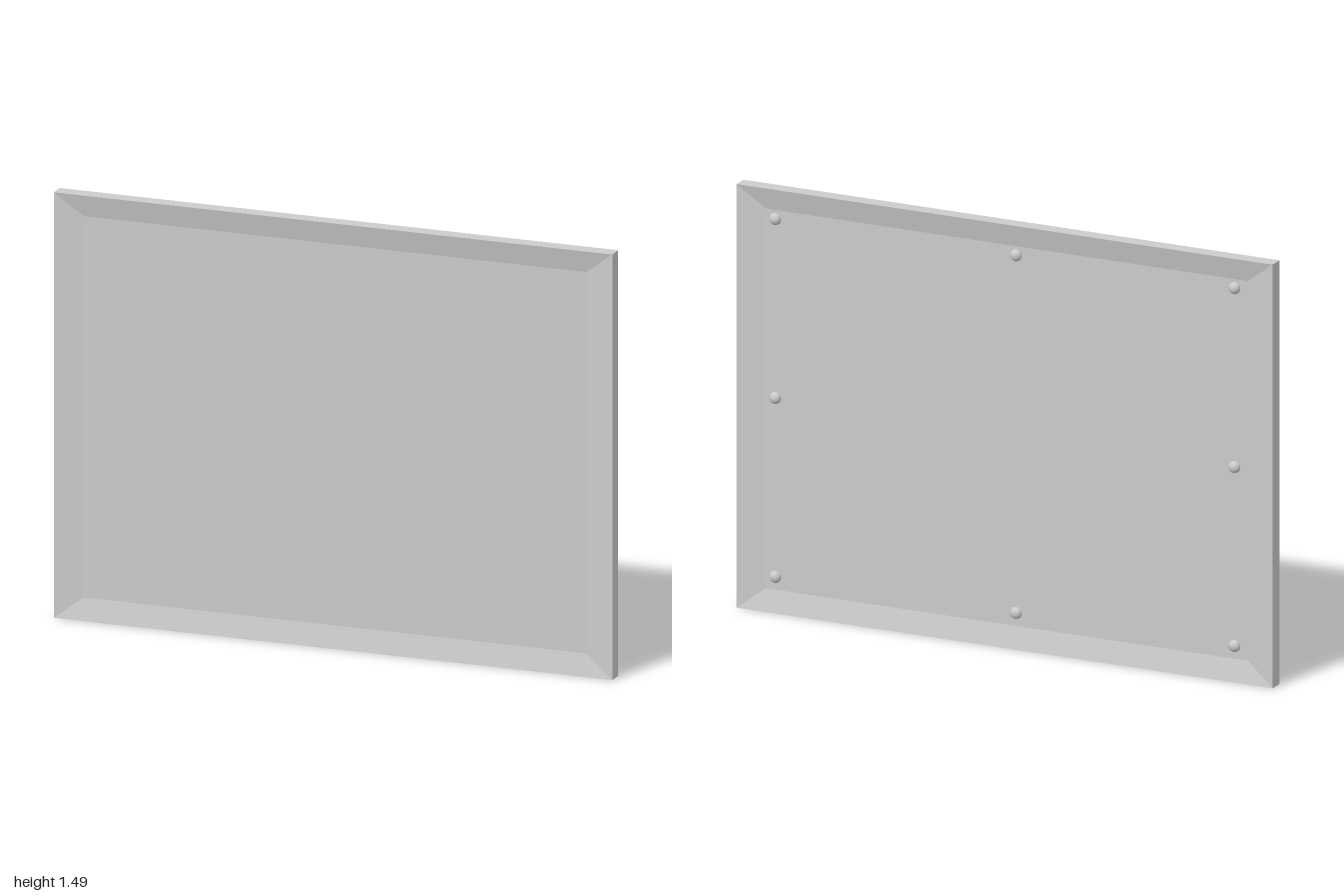
import * as THREE from 'three';

const W = 1, H = 1.485, T = 0.027;      // half width, height, half thickness
const BX = 0.1, BY = 0.077;             // width of the sloping border
const FRONT_Z = 0.01, BACK_Z = -0.008;  // recessed floors

// Rectangle of four corners, anticlockwise seen from the front
function ring(insetX, insetY, z) {
  const x = W - insetX, y0 = insetY, y1 = H - insetY;
  return [[-x, y0, z], [x, y0, z], [x, y1, z], [-x, y1, z]];
}

// Panel lofted through rectangles from the front floor, over the rim, to the back floor
function panelGeometry() {
  const rings = [ring(BX, BY, FRONT_Z), ring(0, 0, T), ring(0, 0, -T), ring(BX, BY, BACK_Z)];
  const pos = [];
  const quad = (a, b, c, d) => pos.push(...a, ...b, ...c, ...a, ...c, ...d);
  quad(...rings[0]);
  for (let r = 0; r < 3; r++) {
    for (let i = 0; i < 4; i++) {
      const j = (i + 1) % 4;
      quad(rings[r][i], rings[r + 1][i], rings[r + 1][j], rings[r][j]);
    }
  }
  quad(...rings[3].slice().reverse());
  const geo = new THREE.BufferGeometry();
  geo.setAttribute('position', new THREE.Float32BufferAttribute(pos, 3));
  geo.computeVertexNormals();
  return geo;
}

export function createModel() {
  const model = new THREE.Group();
  model.name = 'framedPanel';
  const material = new THREE.MeshStandardMaterial({ color: 0xcccccc });

  const panel = new THREE.Mesh(panelGeometry(), material);
  panel.name = 'panel';
  model.add(panel);

  // Round studs around the edge of the back floor
  const studs = new THREE.Group();
  studs.name = 'backStuds';
  const studGeo = new THREE.SphereGeometry(0.021, 16, 10);
  studGeo.scale(1, 1, 0.8);
  const xs = [-0.85, -0.035, 0.863], ys = [0.123, 0.75, 1.377];
  xs.forEach((x, i) => ys.forEach((y, j) => {
    if (i === 1 && j === 1) return; // no stud in the middle
    const stud = new THREE.Mesh(studGeo, material);
    stud.name = 'stud';
    stud.position.set(x, y, BACK_Z - 0.002);
    studs.add(stud);
  }));
  model.add(studs);
  return model;
}
